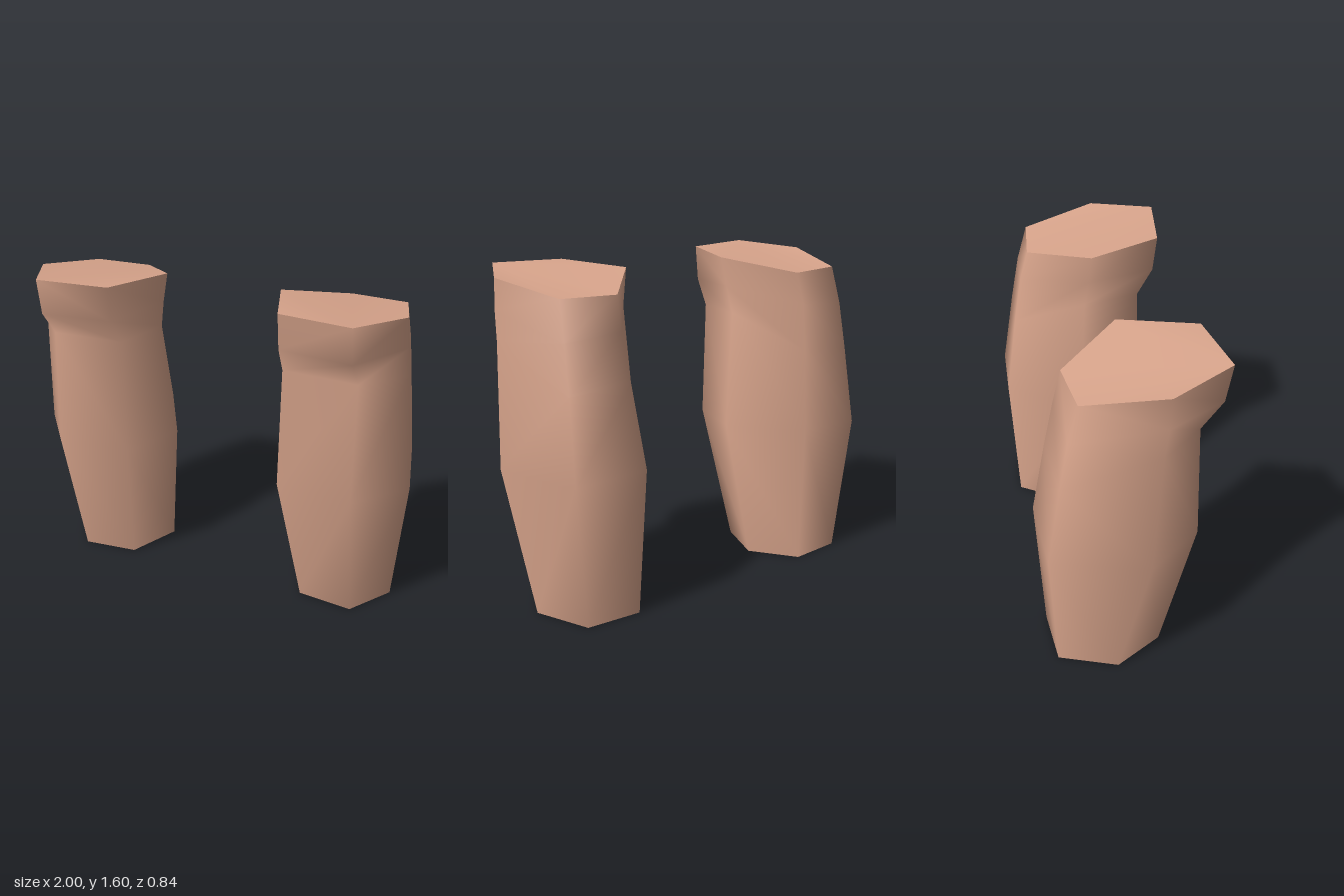
import * as THREE from 'three';

// Cross-sections of the left leg, bottom to top.
// Corners run: front outer, outer, back outer, back inner, inner, front inner.
const RINGS = [
  [[0.77, 0, 0.15], [0.91, 0, -0.08], [0.81, 0, -0.36], [0.53, 0, -0.38], [0.38, 0, -0.15], [0.49, 0, 0.12]],
  [[0.79, 0.7, 0.31], [1.0, 0.7, 0.05], [0.885, 0.7, -0.4], [0.51, 0.72, -0.42], [0.295, 0.7, -0.05], [0.41, 0.7, 0.28]],
  [[0.79, 1.29, 0.29], [0.967, 1.29, 0.09], [0.868, 1.1, -0.34], [0.55, 1.12, -0.36], [0.355, 1.29, -0.02], [0.42, 1.29, 0.27]],
  [[0.79, 1.42, 0.39], [0.96, 1.43, 0.11], [0.858, 1.33, -0.3], [0.57, 1.35, -0.32], [0.33, 1.43, 0], [0.43, 1.42, 0.35]],
  [[0.79, 1.6, 0.42], [0.95, 1.575, 0.12], [0.845, 1.515, -0.25], [0.56, 1.51, -0.28], [0.3, 1.58, 0.01], [0.43, 1.595, 0.37]],
];

// Indexed geometry; side = -1 mirrors it and flips the winding
function makeGeometry(points, faces, side) {
  const geometry = new THREE.BufferGeometry();
  const positions = points.flatMap(([x, y, z]) => [x * side, y, z]);
  geometry.setAttribute('position', new THREE.Float32BufferAttribute(positions, 3));
  geometry.setIndex(faces.flatMap(([a, b, c]) => (side > 0 ? [a, b, c] : [a, c, b])));
  geometry.computeVertexNormals();
  return geometry;
}

// Smooth wall joining neighbouring cross-sections
function wallGeometry(side) {
  const n = RINGS[0].length;
  const faces = [];
  for (let r = 0; r < RINGS.length - 1; r++) {
    for (let i = 0; i < n; i++) {
      const a = r * n + i;
      const b = r * n + ((i + 1) % n);
      faces.push([a, b, b + n], [a, b + n, a + n]);
    }
  }
  return makeGeometry(RINGS.flat(), faces, side);
}

// Flat end with its own normals, so the rim stays sharp
function capGeometry(ring, side, up) {
  const faces = [];
  for (let i = 1; i < ring.length - 1; i++) {
    faces.push(up ? [0, i, i + 1] : [0, i + 1, i]);
  }
  return makeGeometry(ring, faces, side);
}

export function createModel() {
  const model = new THREE.Group();
  model.name = 'legs';
  const skin = new THREE.MeshStandardMaterial({ color: 0xd9a58c });
  skin.name = 'skin';

  for (const [name, side] of [['leftLeg', 1], ['rightLeg', -1]]) {
    const leg = new THREE.Group();
    leg.name = name;
    const add = (part, geometry) => {
      const mesh = new THREE.Mesh(geometry, skin);
      mesh.name = part;
      leg.add(mesh);
    };
    add('calf', wallGeometry(side));
    add('kneeEnd', capGeometry(RINGS[RINGS.length - 1], side, true));
    add('ankleEnd', capGeometry(RINGS[0], side, false));
    model.add(leg);
  }
  return model;
}
